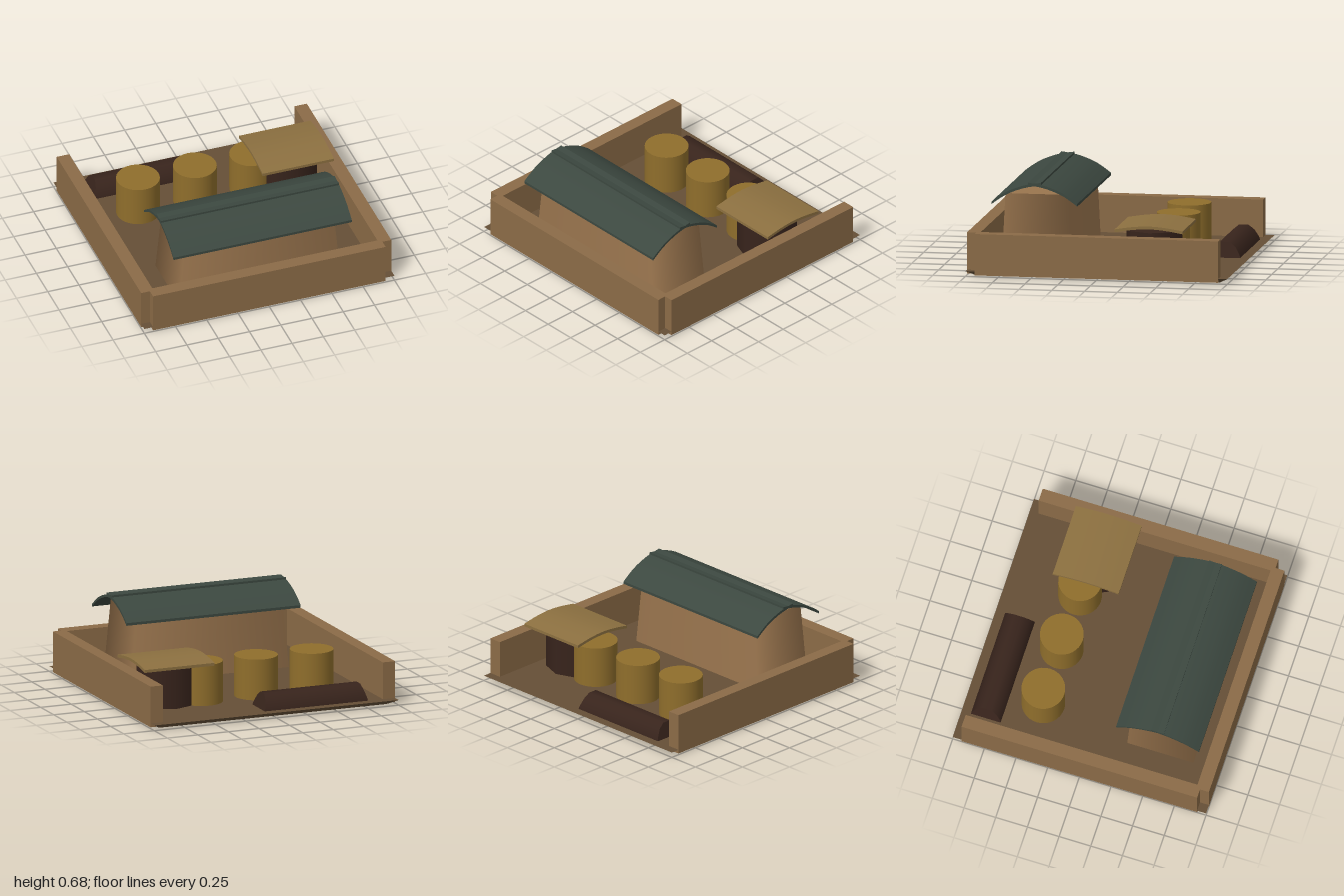
import * as THREE from 'three';
import { toCreasedNormals } from 'three/addons/utils/BufferGeometryUtils.js';

const paint = (color, flatShading = false) => new THREE.MeshStandardMaterial({ color, flatShading });
const WOOD = paint(0x8b6b47);
const EARTH = paint(0x654f36, true);
const PLASTER = paint(0x9a754e);
const SLATE = paint(0x3c4840);
const STRAW = paint(0x8f6e2c);
const BOARD = paint(0x8c7040);
const DARK = paint(0x38241c);

export function createModel() {
  const model = new THREE.Group();

  function add(name, geometry, material, x = 0, y = 0, z = 0) {
    const mesh = new THREE.Mesh(geometry, material);
    mesh.name = name;
    mesh.position.set(x, y, z);
    model.add(mesh);
    return mesh;
  }

  // Box given by its minimum and maximum corners
  function block(name, [x0, y0, z0], [x1, y1, z1], material) {
    add(name, new THREE.BoxGeometry(x1 - x0, y1 - y0, z1 - z0), material,
      (x0 + x1) / 2, (y0 + y1) / 2, (z0 + z1) / 2);
  }

  // Four-sided tapered block standing on y = 0, half sizes at the base
  function taperedBlock(halfX, halfZ, height, taper) {
    const r = Math.SQRT2;
    return new THREE.CylinderGeometry(r * taper, r, height, 4)
      .rotateY(Math.PI / 4).scale(halfX, 1, halfZ).translate(0, height / 2, 0);
  }

  // Cross-section in (z, y) swept along x; turn = 1 mirrors it to -z
  function sweep(points, length, turn = -1) {
    const shape = new THREE.Shape(points.map(([u, v]) => new THREE.Vector2(u, v)));
    return new THREE.ExtrudeGeometry(shape, { depth: length, bevelEnabled: false })
      .translate(0, 0, -length / 2).rotateY(turn * Math.PI / 2);
  }

  // Smooth curved sheet: upper curve and the same curve dropped by a thickness
  function sheet(points, thickness) {
    const curve = new THREE.SplineCurve(points.map(([u, v]) => new THREE.Vector2(u, v)));
    const upper = curve.getPoints(10).map((p) => [p.x, p.y]);
    return [...upper, ...upper.map(([u, v]) => [u, v - thickness]).reverse()];
  }

  // Ground slab with sloping edges
  add('ground', taperedBlock(0.93, 0.93, 0.04, 1 / 0.93), EARTH);

  // Enclosure walls, open at the back
  block('frontWall', [-0.93, 0.01, 0.9], [0.93, 0.325, 1], WOOD);
  block('rightWall', [-1, 0.01, -0.93], [-0.9, 0.325, 0.93], WOOD);
  block('leftWall', [0.9, 0.01, -0.93], [1, 0.325, 0.93], WOOD);

  // Long hall and its two overlapping roof sheets
  add('hall', taperedBlock(0.645, 0.262, 0.55, 0.925), PLASTER, 0, 0.025, 0.525);
  const slope = [[-0.05, 0.68], [0.07, 0.66], [0.19, 0.617], [0.27, 0.57], [0.327, 0.528]];
  for (const turn of [-1, 1]) {
    const geometry = toCreasedNormals(sweep(sheet(slope, 0.02), 1.425, turn), 0.6);
    add(turn < 0 ? 'hallRoofFront' : 'hallRoofBack', geometry, SLATE, 0, 0, 0.525);
  }

  // Row of three round granaries
  for (const x of [-0.53, -0.075, 0.375]) {
    add('granary', new THREE.CylinderGeometry(0.165, 0.165, 0.325, 32), STRAW, x, 0.1925, -0.435);
  }

  // Eight-sided hut under an arched board
  add('hut', new THREE.CylinderGeometry(1, 1, 0.32, 8).scale(0.24, 1, 0.215), DARK, 0.64, 0.19, -0.38);
  const arch = [[-0.26, 0.38], [-0.13, 0.401], [0, 0.41], [0.13, 0.401], [0.26, 0.38]];
  const hutRoof = toCreasedNormals(sweep(sheet(arch, 0.022), 0.57), 0.6);
  add('hutRoof', hutRoof, BOARD, 0.64, 0, -0.385);

  // Low rounded mound at the back, its ends leaning inwards
  const half = [[0.12, 0.02], [0.115, 0.06], [0.08, 0.12], [0.035, 0.157]];
  const outline = [...half, ...half.map(([u, v]) => [-u, v]).reverse()];
  const mound = sweep(outline, 0.855);
  const position = mound.attributes.position;
  for (let i = 0; i < position.count; i++) {
    position.setX(i, position.getX(i) * (1 - 0.6 * (position.getY(i) - 0.02)));
  }
  add('mound', toCreasedNormals(mound, 0.9), DARK, -0.358, 0, -0.81);

  return model;
}
